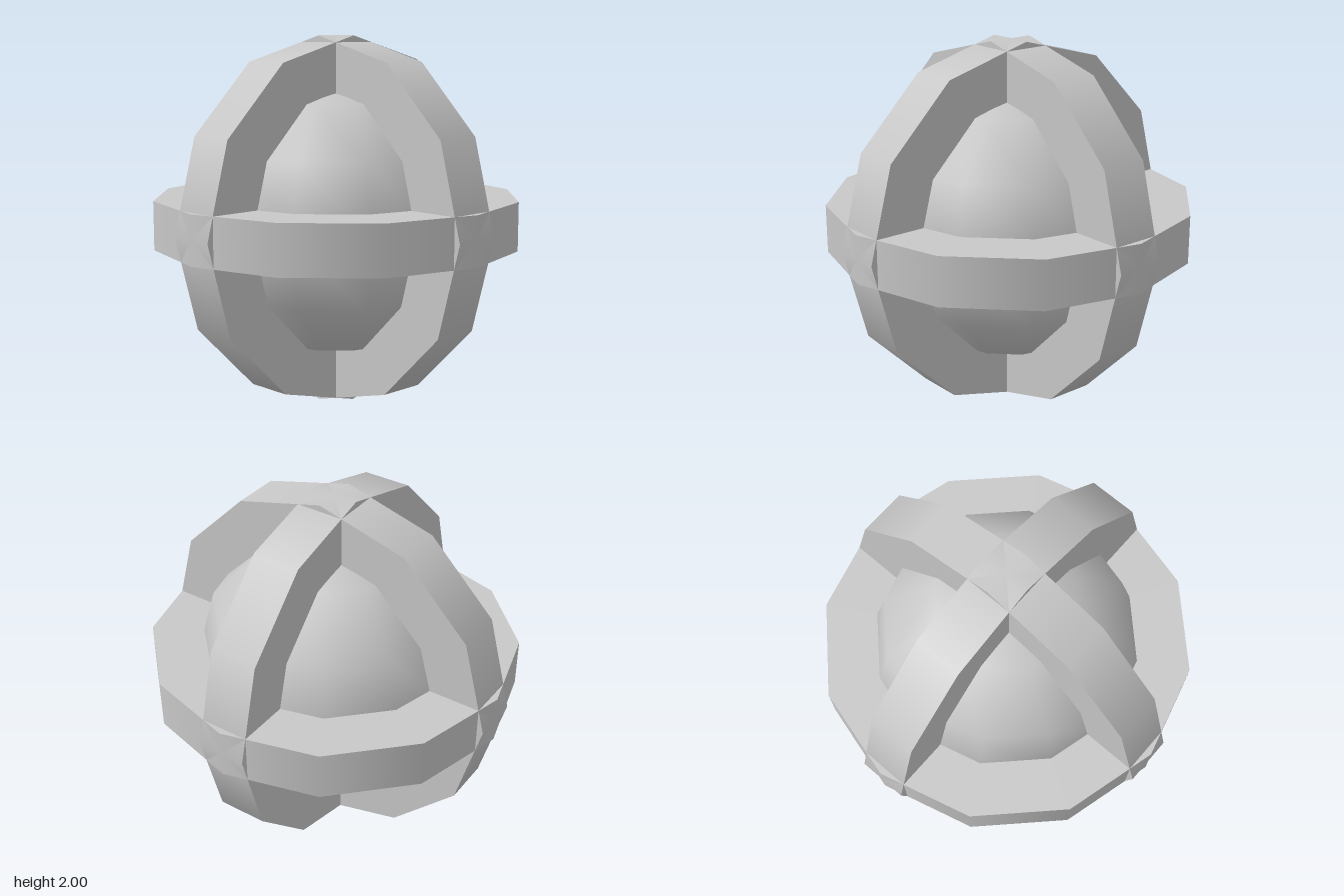
import * as THREE from 'three';

export function createModel() {
  const model = new THREE.Group();
  model.name = 'ringedBall';
  const grey = new THREE.MeshStandardMaterial({ color: 0xc8c8c8 });
  grey.name = 'light grey';

  // Ball in the middle, low-poly but smoothly shaded
  const ball = new THREE.Mesh(new THREE.SphereGeometry(0.75, 12, 6), grey);
  ball.name = 'coreBall';
  ball.position.y = 1;
  model.add(ball);

  // Three crossing twelve-sided bands, one around each axis
  const bandGeometry = new THREE.CylinderGeometry(1, 1, 0.264, 12);
  const bands = [
    ['horizontalBand', 0, 0],
    ['frontBand', Math.PI / 2, 0],
    ['sideBand', 0, Math.PI / 2],
  ];
  for (const [name, turnX, turnZ] of bands) {
    const band = new THREE.Mesh(bandGeometry, grey);
    band.name = name;
    band.rotation.set(turnX, 0, turnZ);
    band.position.y = 1;
    model.add(band);
  }
  return model;
}
